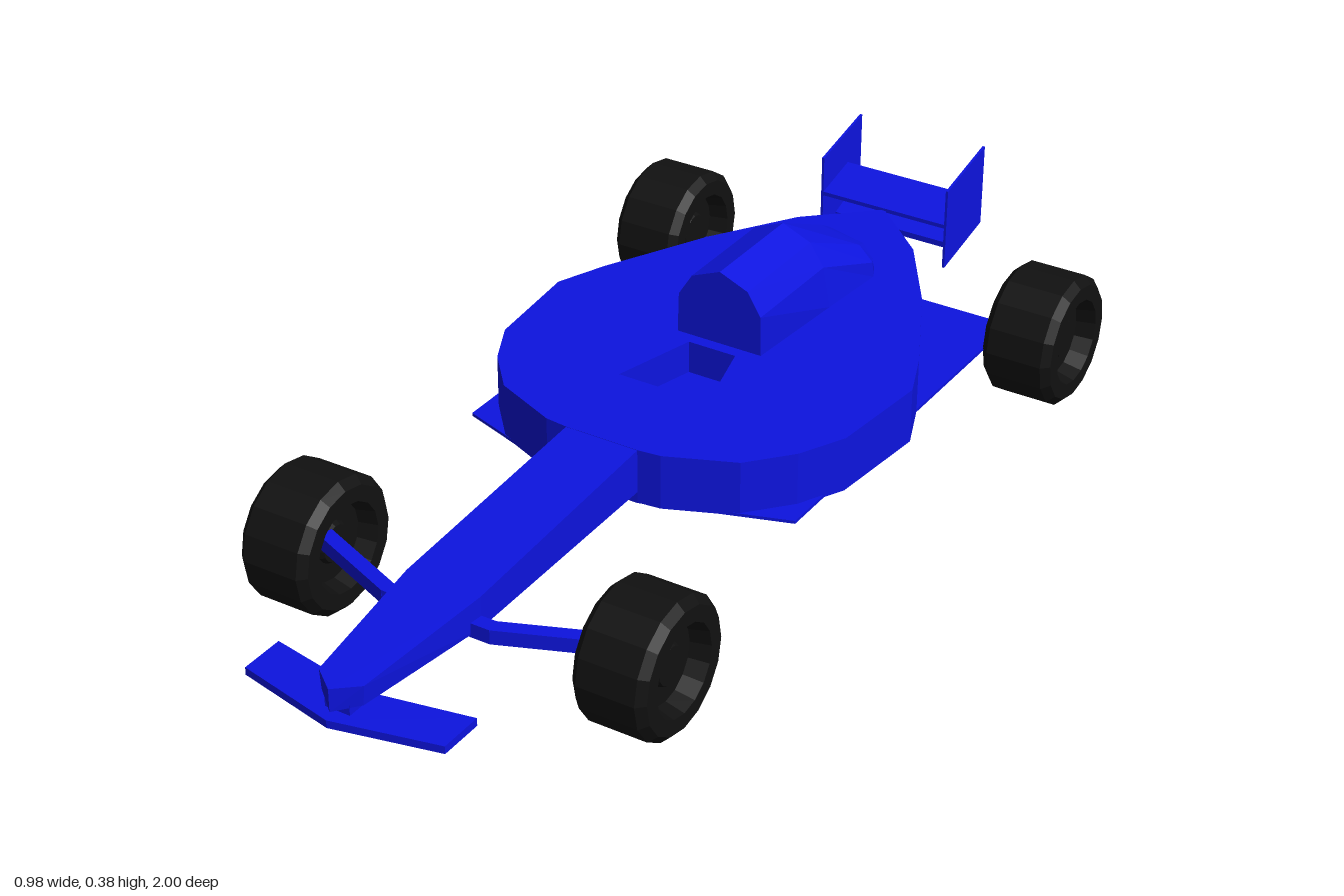
import * as THREE from 'three';

const paint = new THREE.MeshStandardMaterial({ color: 0x0d14e0, flatShading: true, side: THREE.DoubleSide });
const rubber = new THREE.MeshStandardMaterial({ color: 0x111111, flatShading: true, side: THREE.DoubleSide });

function add(parent, name, geometry, material = paint) {
  const mesh = new THREE.Mesh(geometry, material);
  mesh.name = name;
  parent.add(mesh);
  return mesh;
}

// Mirrors a half outline of [x, z] points into a closed plan shape
function planShape(half) {
  const other = half.filter(([x]) => x > 0).reverse().map(([x, z]) => [-x, z]);
  return new THREE.Shape([...half, ...other].map(([x, z]) => new THREE.Vector2(x, -z)));
}

// Extrudes a plan shape upwards from y0 to y1
function slab(shape, y0, y1) {
  const g = new THREE.ExtrudeGeometry(shape, { depth: y1 - y0, bevelEnabled: false });
  return g.rotateX(-Math.PI / 2).translate(0, y0, 0);
}

// Joins mirrored half sections (listed front to back, base to crown) into a capped shell
function loft(sections) {
  const rings = sections.map(({ z, pts }) => {
    const left = pts.filter(([x]) => x > 0).reverse().map(([x, y]) => [-x, y]);
    return [...pts, ...left].map(([x, y, dz = 0]) => [x, y, z + dz]);
  });
  const n = rings[0].length, index = [];
  for (let r = 0; r < rings.length - 1; r++) {
    for (let i = 0; i < n; i++) {
      const a = r * n + i, b = r * n + (i + 1) % n;
      index.push(a, a + n, b, b, a + n, b + n);
    }
  }
  const last = (rings.length - 1) * n;
  for (let i = 1; i < n - 1; i++) index.push(0, i, i + 1, last, last + i + 1, last + i);
  const g = new THREE.BufferGeometry();
  g.setAttribute('position', new THREE.Float32BufferAttribute(rings.flat(2), 3));
  g.setIndex(index);
  g.computeVertexNormals();
  return g;
}

// Square bar between two points
function bar(parent, name, from, to, size) {
  const a = new THREE.Vector3(...from), b = new THREE.Vector3(...to);
  const mesh = add(parent, name, new THREE.BoxGeometry(size, size, a.distanceTo(b)));
  mesh.position.copy(a).lerp(b, 0.5);
  mesh.lookAt(b);
}

// Panel running along z with a slope, spanning the rear wing's width
function wingPlane(parent, name, z0, y0, z1, y1, thick) {
  const s = new THREE.Shape([[z0, y0], [z1, y1], [z1, y1 - thick], [z0, y0 - thick]]
    .map(([z, y]) => new THREE.Vector2(-z, y)));
  const g = new THREE.ExtrudeGeometry(s, { depth: 0.28, bevelEnabled: false });
  add(parent, name, g.translate(0, 0, -0.14).rotateY(Math.PI / 2));
}

function wheel(parent, name, x, z) {
  // Bevelled tread with recessed rims on both faces
  const w = 0.0715;
  const profile = [[0, -0.045], [0.035, -0.045], [0.04, -0.035], [0.075, -0.035], [0.085, -w],
    [0.115, -w], [0.13, -w + 0.015], [0.13, w - 0.015], [0.115, w], [0.085, w],
    [0.075, 0.035], [0.04, 0.035], [0.035, 0.045], [0, 0.045]];
  const g = new THREE.LatheGeometry(profile.map(([r, h]) => new THREE.Vector2(r, h)), 16);
  add(parent, name, g.rotateZ(-Math.PI / 2), rubber).position.set(x, 0.13, z);
}

export function createModel() {
  const car = new THREE.Group();
  car.name = 'racingCar';

  // Floor tray and main body with an open cockpit
  add(car, 'floor', slab(planShape([[0.075, 0.19], [0.345, 0.1], [0.345, -0.73]]), 0.125, 0.131));
  const body = planShape([[0.075, 0.19], [0.12, 0.185], [0.25, 0.13], [0.32, 0.05], [0.365, -0.04],
    [0.385, -0.25], [0.345, -0.35], [0.24, -0.56], [0.13, -0.73], [0, -0.85]]);
  const cockpit = [[0.095, -0.015], [0.05, -0.185], [-0.05, -0.185], [-0.095, -0.015]];
  body.holes.push(new THREE.Path(cockpit.map(([x, z]) => new THREE.Vector2(x, -z))));
  add(car, 'body', slab(body, 0.126, 0.235));
  const seat = planShape([[0.095, -0.015], [0.05, -0.185]]);
  add(car, 'cockpitFloor', slab(seat, 0.13, 0.17));

  // Engine cover: straight in front, bulging and falling away behind
  add(car, 'engineCover', loft([
    { z: -0.21, pts: [[0.09, 0.235], [0.088, 0.315], [0.06, 0.36], [0, 0.385]] },
    { z: -0.44, pts: [[0.106, 0.235], [0.09, 0.315], [0.06, 0.36], [0, 0.385]] },
    { z: -0.59, pts: [[0.118, 0.235], [0.115, 0.265], [0.085, 0.295], [0, 0.315]] },
    { z: -0.625, pts: [[0.1, 0.235], [0.095, 0.255], [0.075, 0.28], [0, 0.295]] },
    { z: -0.65, pts: [[0.07, 0.23], [0.068, 0.232], [0.06, 0.234], [0, 0.236]] },
  ]));

  // Long tapering nose with a blunt pointed tip
  add(car, 'nose', loft([
    { z: 0.95, pts: [[0, 0.135, 0.035], [0.042, 0.143], [0.045, 0.182], [0, 0.18, 0.035]] },
    { z: 0.67, pts: [[0, 0.14], [0.075, 0.14], [0.075, 0.202], [0, 0.202]] },
    { z: 0.18, pts: [[0, 0.148], [0.075, 0.148], [0.075, 0.235], [0, 0.235]] },
  ]));

  // Swept front wing
  add(car, 'frontWing', slab(planShape([[0, 0.995], [0.2, 0.95], [0.2, 0.862], [0, 0.9]]), 0.11, 0.125));
  add(car, 'frontWingMount', new THREE.BoxGeometry(0.05, 0.03, 0.05)).position.set(0, 0.13, 0.94);

  // Rear wing: two planes between slanted end plates
  const rearWing = new THREE.Group();
  rearWing.name = 'rearWing';
  car.add(rearWing);
  const plate = new THREE.Shape([[0.845, 0.145], [1, 0.18], [1, 0.35], [0.845, 0.315]]
    .map(([z, y]) => new THREE.Vector2(z, y)));
  for (const x of [-0.14, 0.14]) {
    const g = new THREE.ExtrudeGeometry(plate, { depth: 0.005, bevelEnabled: false });
    add(rearWing, 'endPlate', g.translate(0, 0, -0.0025).rotateY(Math.PI / 2)).position.x = x;
  }
  wingPlane(rearWing, 'upperPlane', -0.845, 0.24, -0.945, 0.265, 0.008);
  wingPlane(rearWing, 'lowerPlane', -0.9, 0.17, -1, 0.205, 0.012);

  // Wheels and bent front suspension arms
  for (const s of [1, -1]) {
    wheel(car, 'frontWheel', s * 0.341 + 0.004, 0.583);
    wheel(car, 'rearWheel', s * 0.418 - 0.003, -0.738);
    bar(car, 'suspensionArm', [s * 0.06, 0.15, 0.683], [s * 0.11, 0.15, 0.683], 0.028);
    bar(car, 'suspensionArm', [s * 0.105, 0.15, 0.684], [s * 0.31, 0.15, 0.6], 0.028);
  }
  return car;
}
